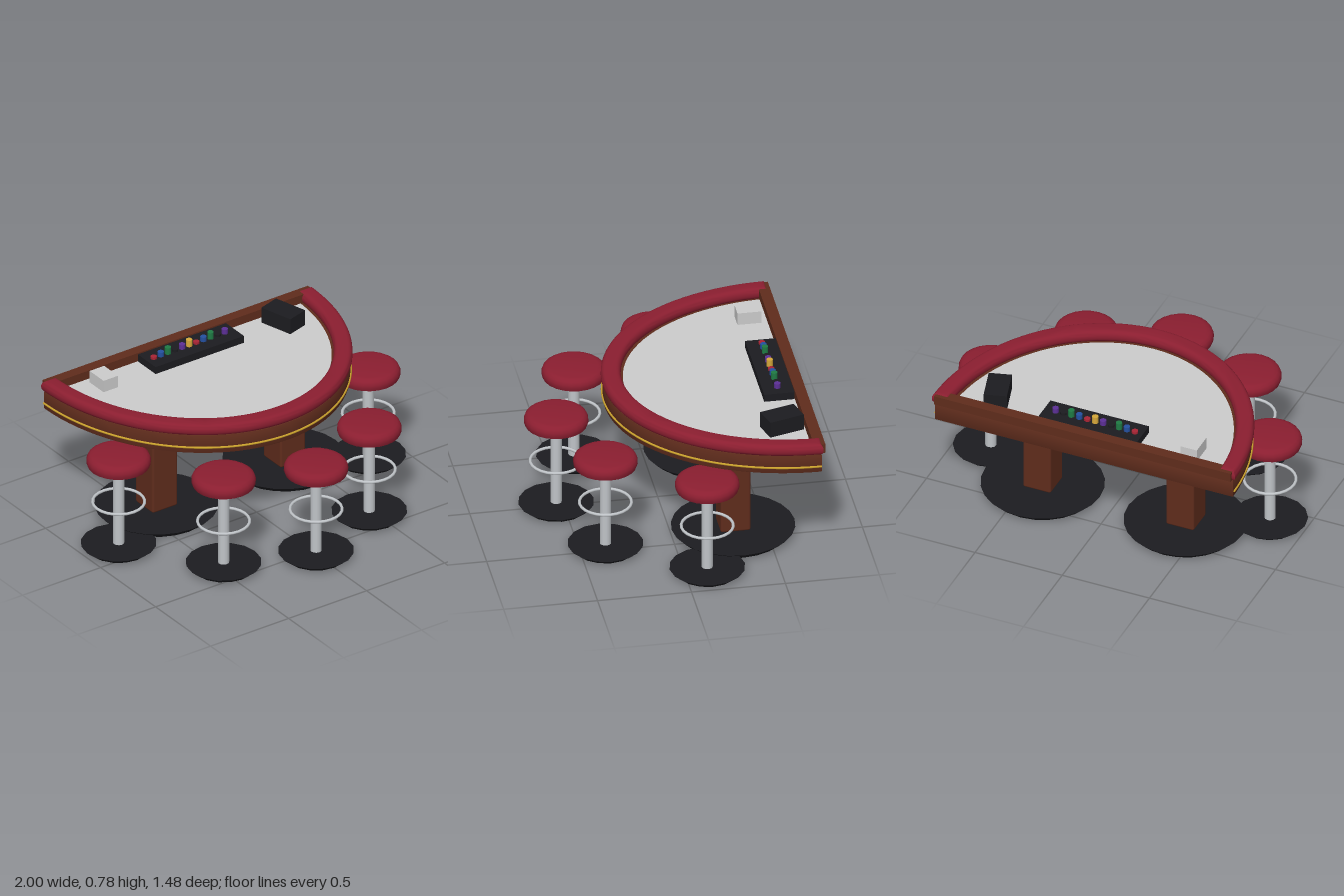
import * as THREE from 'three';
import { toCreasedNormals } from 'three/addons/utils/BufferGeometryUtils.js';
import { RoundedBoxGeometry } from 'three/addons/geometries/RoundedBoxGeometry.js';

const mat = (color) => new THREE.MeshStandardMaterial({ color });
const BACK = -0.72; // straight dealer edge of the half-ellipse

export function createModel() {
  const wood = mat(0x5f2c1c), leather = mat(0x8b1e30), black = mat(0x1c1c20);
  const chrome = mat(0xc0c4c8), gold = mat(0xc9a02c), grey = mat(0xcccccc);
  const model = new THREE.Group();

  const add = (parent, name, geometry, material, x = 0, y = 0, z = 0) => {
    const mesh = new THREE.Mesh(geometry, material);
    mesh.name = name;
    mesh.position.set(x, y, z);
    parent.add(mesh);
    return mesh;
  };

  // Points along the front half of an ellipse centred on the dealer edge
  const arc = (rx, rz, n = 48) => Array.from({ length: n + 1 }, (_, i) => {
    const a = (Math.PI * i) / n;
    return new THREE.Vector2(rx * Math.cos(a), BACK + rz * Math.sin(a));
  });

  // Lay a plan outline flat, from y = bottom to y = top, with rounded edges
  const slab = (points, bottom, top, bevel, rise, steps) => {
    const g = new THREE.ExtrudeGeometry(new THREE.Shape(points), {
      depth: top - bottom - 2 * rise, bevelEnabled: bevel > 0,
      bevelSize: bevel, bevelThickness: rise, bevelSegments: steps,
    });
    g.rotateX(Math.PI / 2);
    g.translate(0, top - rise, 0);
    return toCreasedNormals(g, 0.7);
  };
  const inset = (points, d) => points.map((p) => new THREE.Vector2(p.x, Math.max(p.y, BACK + d)));

  // Table top
  const table = new THREE.Group();
  table.name = 'table';
  model.add(table);
  add(table, 'apron', slab(inset(arc(0.847, 0.995), 0.008), 0.57, 0.68, 0.008, 0.008, 2), wood);
  add(table, 'playingSurface', slab(arc(0.762, 0.895), 0.67, 0.686, 0, 0, 1), grey);
  const railPlan = [...arc(0.842, 0.985), ...arc(0.798, 0.932).reverse()];
  add(table, 'paddedRail', slab(inset(railPlan, 0.018), 0.675, 0.742, 0.026, 0.03, 5), leather);
  const trimPath = new THREE.CatmullRomCurve3(
    arc(0.857, 1.005).map((p) => new THREE.Vector3(p.x, 0.606, p.y)));
  add(table, 'goldTrim', new THREE.TubeGeometry(trimPath, 64, 0.006, 8), gold);
  add(table, 'backBar', new THREE.BoxGeometry(1.7, 0.052, 0.06), wood, 0, 0.709, -0.71);

  // Pedestals
  for (const side of [-1, 1]) {
    const pedestal = new THREE.Group();
    pedestal.name = side > 0 ? 'leftPedestal' : 'rightPedestal';
    pedestal.position.set(side * 0.41, 0, -0.328);
    add(pedestal, 'leg', new RoundedBoxGeometry(0.16, 0.54, 0.16, 2, 0.012), wood, 0, 0.305, 0);
    add(pedestal, 'legBase', new THREE.CylinderGeometry(0.327, 0.29, 0.035, 24), black, 0, 0.0175, 0);
    table.add(pedestal);
  }

  // Chip tray with stacks of repeating colour and height
  const tray = new THREE.Group();
  tray.name = 'chipTray';
  table.add(tray);
  add(tray, 'trayBody', new THREE.BoxGeometry(0.565, 0.043, 0.162), black, 0, 0.7065, -0.598);
  const chipMats = [mat(0xa82434), mat(0x2450a0), mat(0x1f7a44), black, mat(0x5c2f96), mat(0xd6a83a)];
  for (let i = 0; i < 11; i++) {
    const top = [0.741, 0.755, 0.767][i % 3];
    add(tray, 'chipStack', new THREE.CylinderGeometry(0.017, 0.017, top - 0.72, 16),
      chipMats[i % 6], -0.238 + 0.0455 * i, (top + 0.72) / 2, -0.598);
  }

  // Card holders
  const shoe = add(table, 'cardShoe', new THREE.BoxGeometry(0.123, 0.09, 0.195), black, 0.565, 0.731, -0.56);
  shoe.rotation.y = 0.28;
  add(table, 'discardBox', new THREE.BoxGeometry(0.093, 0.07, 0.127), grey, -0.568, 0.72, -0.583);

  // Stools
  const seatProfile = [[0, 0.497], [0.15, 0.497], [0.164, 0.502], [0.17, 0.52], [0.169, 0.537],
    [0.162, 0.553], [0.148, 0.563], [0.128, 0.567], [0, 0.567]].map(([x, y]) => new THREE.Vector2(x, y));
  const seat = toCreasedNormals(new THREE.LatheGeometry(seatProfile, 24), 0.7);
  const pole = new THREE.CylinderGeometry(0.03, 0.03, 0.48, 12);
  const ring = new THREE.TorusGeometry(0.137, 0.008, 8, 24).rotateX(Math.PI / 2);
  const base = new THREE.CylinderGeometry(0.2, 0.167, 0.028, 16);
  const spots = [[-0.8, -0.12], [-0.467, 0.362], [0, 0.54], [0.467, 0.362], [0.8, -0.12]];
  for (const [x, z] of spots) {
    const stool = new THREE.Group();
    stool.name = 'stool';
    stool.position.set(x, 0, z);
    add(stool, 'seat', seat, leather);
    add(stool, 'pole', pole, chrome, 0, 0.262, 0);
    add(stool, 'footRing', ring, chrome, 0, 0.277, 0);
    add(stool, 'stoolBase', base, black, 0, 0.014, 0);
    model.add(stool);
  }
  return model;
}
